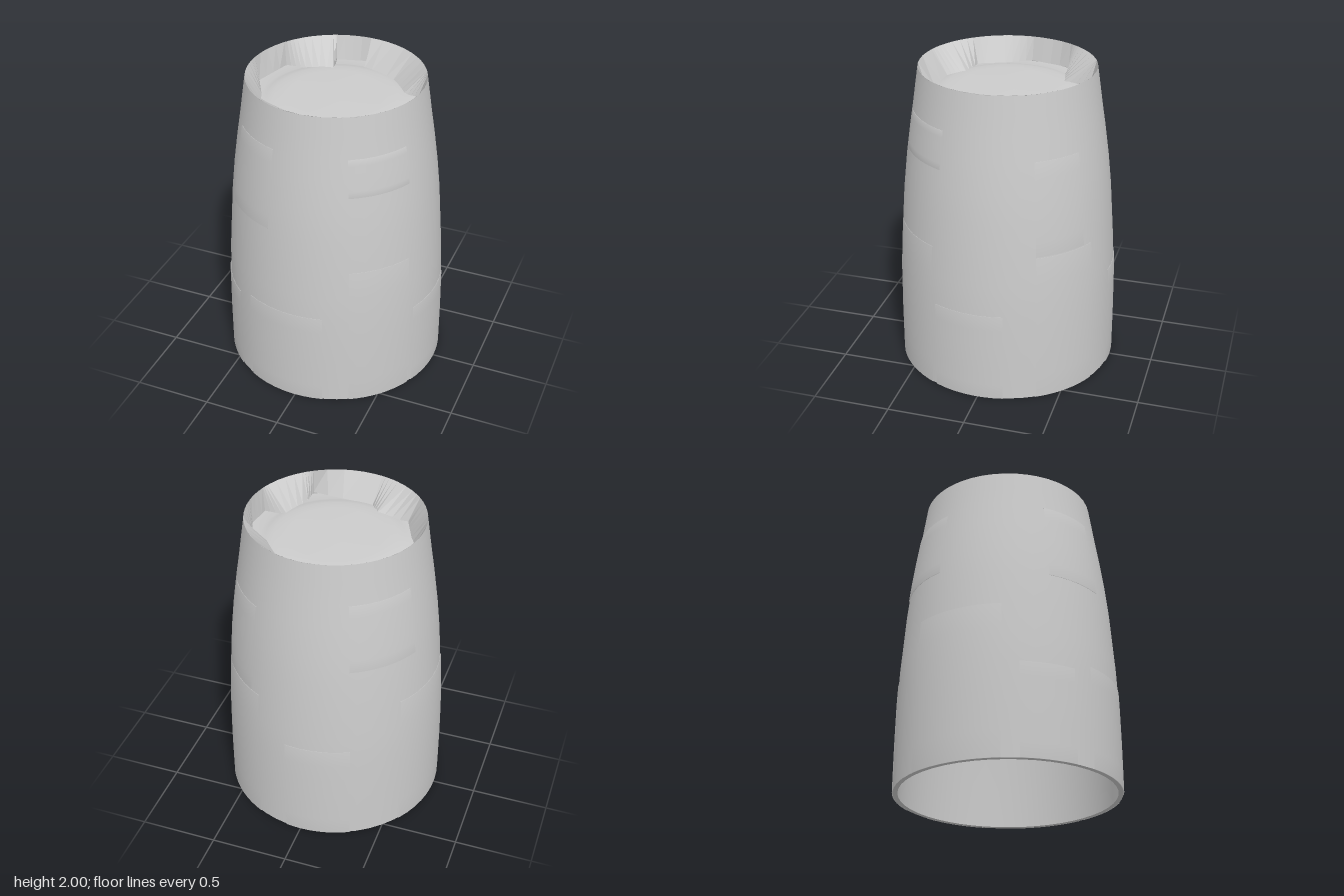
import * as THREE from 'three';

const OUTER = [[0.712, 0], [0.711, 0.3], [0.706, 0.6], [0.697, 0.8], [0.682, 1.0], [0.667, 1.2],
  [0.645, 1.4], [0.617, 1.6], [0.593, 1.75], [0.574, 1.88], [0.556, 2]];
const vec = list => list.map(p => new THREE.Vector2(p[0], p[1]));

// outer wall radius at a given height
function radiusAt(y) {
  let i = 1;
  while (i < OUTER.length - 1 && OUTER[i][1] < y) i++;
  const [r0, y0] = OUTER[i - 1], [r1, y1] = OUTER[i];
  return r0 + (r1 - r0) * (y - y0) / (y1 - y0);
}

export function createModel() {
  const group = new THREE.Group();
  const smooth = new THREE.MeshStandardMaterial({ color: 0xcccccc, side: THREE.DoubleSide });
  const faceted = new THREE.MeshStandardMaterial({ color: 0xcccccc, side: THREE.DoubleSide, flatShading: true });
  const add = (name, geometry, material) => {
    const mesh = new THREE.Mesh(geometry, material);
    mesh.name = name;
    group.add(mesh);
  };
  const lathe = (name, points, material = smooth, ...arc) =>
    add(name, new THREE.LatheGeometry(vec(points), ...(arc.length ? arc : [48])), material);

  // hollow shell of the upturned cup
  lathe('outerWall', OUTER);
  lathe('lowerLip', [[0.682, 0], [0.712, 0]]);
  lathe('innerWall', [[0.53, 1.8], [0.565, 1.65], [0.615, 1.4], [0.652, 1.0], [0.675, 0.6], [0.682, 0]]);
  lathe('innerCeiling', [[0, 1.82], [0.4, 1.815], [0.53, 1.8]]);

  // gently domed base sunk below the upper rim
  lathe('recessFloor', [[0.56, 1.83], [0.47, 1.835], [0.43, 1.85], [0.38, 1.862], [0.3, 1.867], [0, 1.87]]);

  // angular recess wall: foot corners (x, z), joined up to the round rim
  const foot = [[0.02, -0.43], [0.25, -0.33], [0.37, -0.19], [0.47, -0.18], [0.54, -0.02], [0.52, 0.14],
    [0.37, 0.14], [0.31, 0.35], [0.31, 0.46], [-0.1, 0.43], [-0.15, 0.31], [-0.37, 0.31],
    [-0.44, 0.14], [-0.53, -0.02], [-0.46, -0.28], [-0.33, -0.29], [-0.14, -0.3], [-0.19, -0.48], [0.01, -0.53]];
  const steps = 4, positions = [], indices = [];
  const total = foot.length * steps;
  for (let i = 0; i < total; i++) {
    const a = foot[Math.floor(i / steps)];
    const b = foot[(Math.floor(i / steps) + 1) % foot.length];
    const t = (i % steps) / steps;
    const x = a[0] + (b[0] - a[0]) * t, z = a[1] + (b[1] - a[1]) * t;
    const s = 0.556 / Math.hypot(x, z);
    positions.push(x * s, 2, z * s, x, 1.845, z);
    const p = 2 * i, q = 2 * ((i + 1) % total);
    indices.push(p, q, p + 1, q, q + 1, p + 1);
  }
  const wall = new THREE.BufferGeometry();
  wall.setAttribute('position', new THREE.Float32BufferAttribute(positions, 3));
  wall.setIndex(indices);
  wall.computeVertexNormals();
  add('recessWall', wall, faceted);

  // barely raised wall panels: start angle, end angle, bottom, top
  const panels = [[-0.5, 0.26, 0, 0.65], [0.5, 1.1, 0, 0.99], [1.15, 1.8, 0, 0.6], [2.1, 2.7, 0, 0.99],
    [3.0, 3.6, 0, 0.7], [4.1, 4.95, 0, 0.99], [5.1, 5.6, 0, 0.6],
    [0.5, 1.15, 1.5, 1.74], [5.4, 6.0, 1.22, 1.74], [2.1, 2.6, 1.0, 1.6], [3.6, 4.3, 1.3, 1.74]];
  for (const [a0, a1, y0, y1] of panels) {
    const points = [[radiusAt(y0) - 0.003, y0]];
    for (let i = 0; i <= 6; i++) {
      const y = y0 + (y1 - y0) * i / 6;
      points.push([radiusAt(y) + 0.004, y]);
    }
    points.push([radiusAt(y1) - 0.003, y1]);
    lathe('wallPanel', points, smooth, 8, a0, a1 - a0);
  }
  return group;
}
